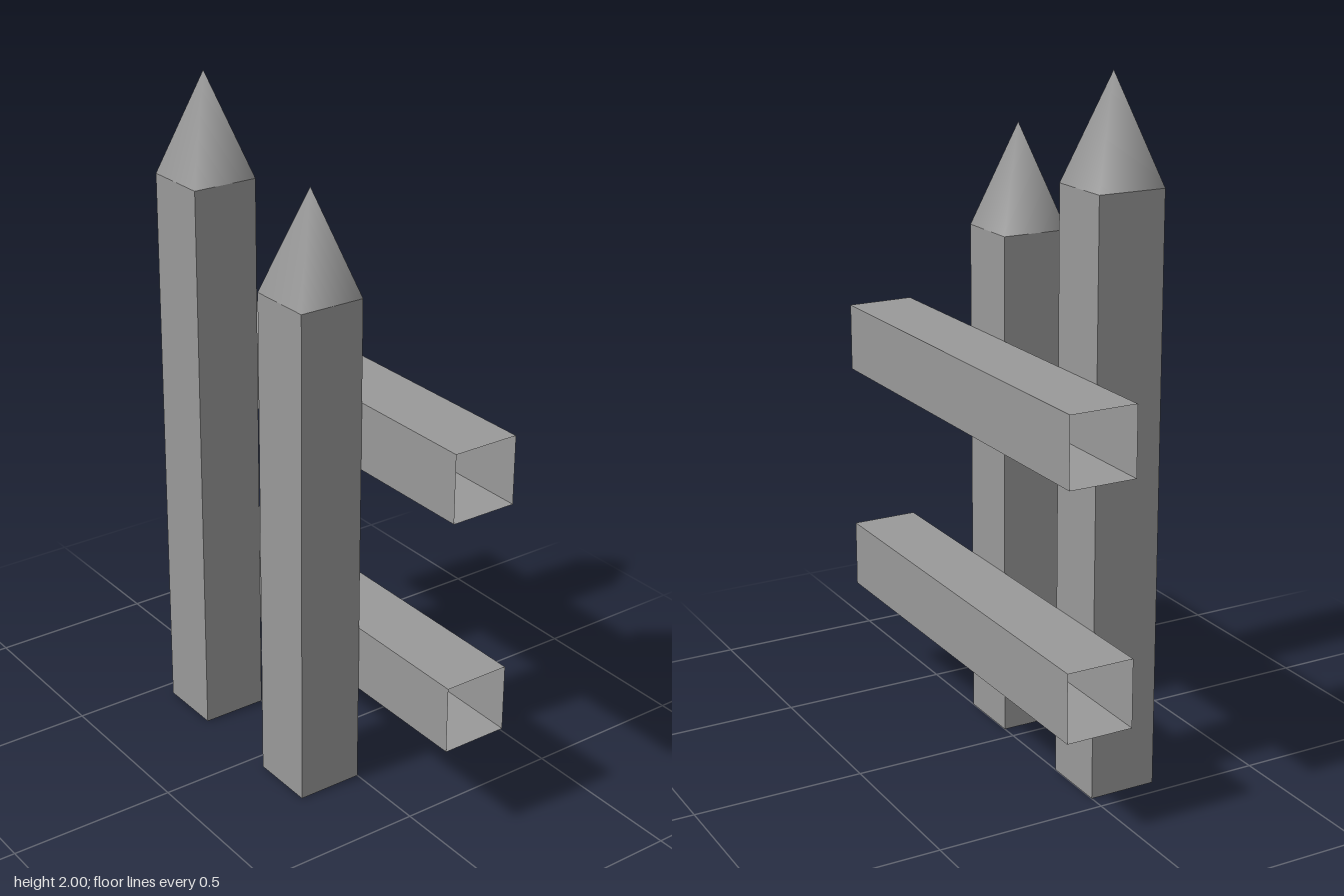
import * as THREE from 'three';
import { mergeVertices } from 'three/addons/utils/BufferGeometryUtils.js';

const WIDTH = 0.2; // thickness of every post and rail
const RADIUS = WIDTH / Math.SQRT2; // corner radius of the square section
const TIP = 0.3;
const COLOR = 0x999999;

// four-sided point with smooth shading across its edges
function pointGeometry() {
  let g = new THREE.ConeGeometry(RADIUS, TIP, 4, 1, true).rotateY(Math.PI / 4);
  g.deleteAttribute('normal');
  g.deleteAttribute('uv');
  g = mergeVertices(g);
  g.computeVertexNormals();
  return g;
}

// square tube along z, open at both ends
function railGeometry(length) {
  return new THREE.CylinderGeometry(RADIUS, RADIUS, length, 4, 1, true)
    .rotateY(Math.PI / 4)
    .rotateX(Math.PI / 2);
}

export function createModel() {
  const fence = new THREE.Group();
  fence.name = 'fence';
  const smooth = new THREE.MeshStandardMaterial({ color: COLOR, side: THREE.DoubleSide });
  const flat = new THREE.MeshStandardMaterial({ color: COLOR, side: THREE.DoubleSide, flatShading: true });

  const add = (parent, name, geometry, material, x, y, z) => {
    const mesh = new THREE.Mesh(geometry, material);
    mesh.name = name;
    mesh.position.set(x, y, z);
    parent.add(mesh);
  };

  // pointed posts: a short one and a tall one
  for (const [name, height, z] of [['shortPost', 1.5, 0.15], ['tallPost', 1.7, -0.35]]) {
    const post = new THREE.Group();
    post.name = name;
    post.position.set(-WIDTH / 2, 0, z);
    add(post, name + 'Shaft', new THREE.BoxGeometry(WIDTH, height, WIDTH), flat, 0, height / 2, 0);
    add(post, name + 'Point', pointGeometry(), smooth, 0, height + TIP / 2, 0);
    fence.add(post);
  }

  // hollow cross rails
  for (const [name, y] of [['lowerRail', 0.4], ['upperRail', 1.1]]) {
    add(fence, name, railGeometry(1.3), flat, WIDTH / 2, y, 0);
  }
  return fence;
}
